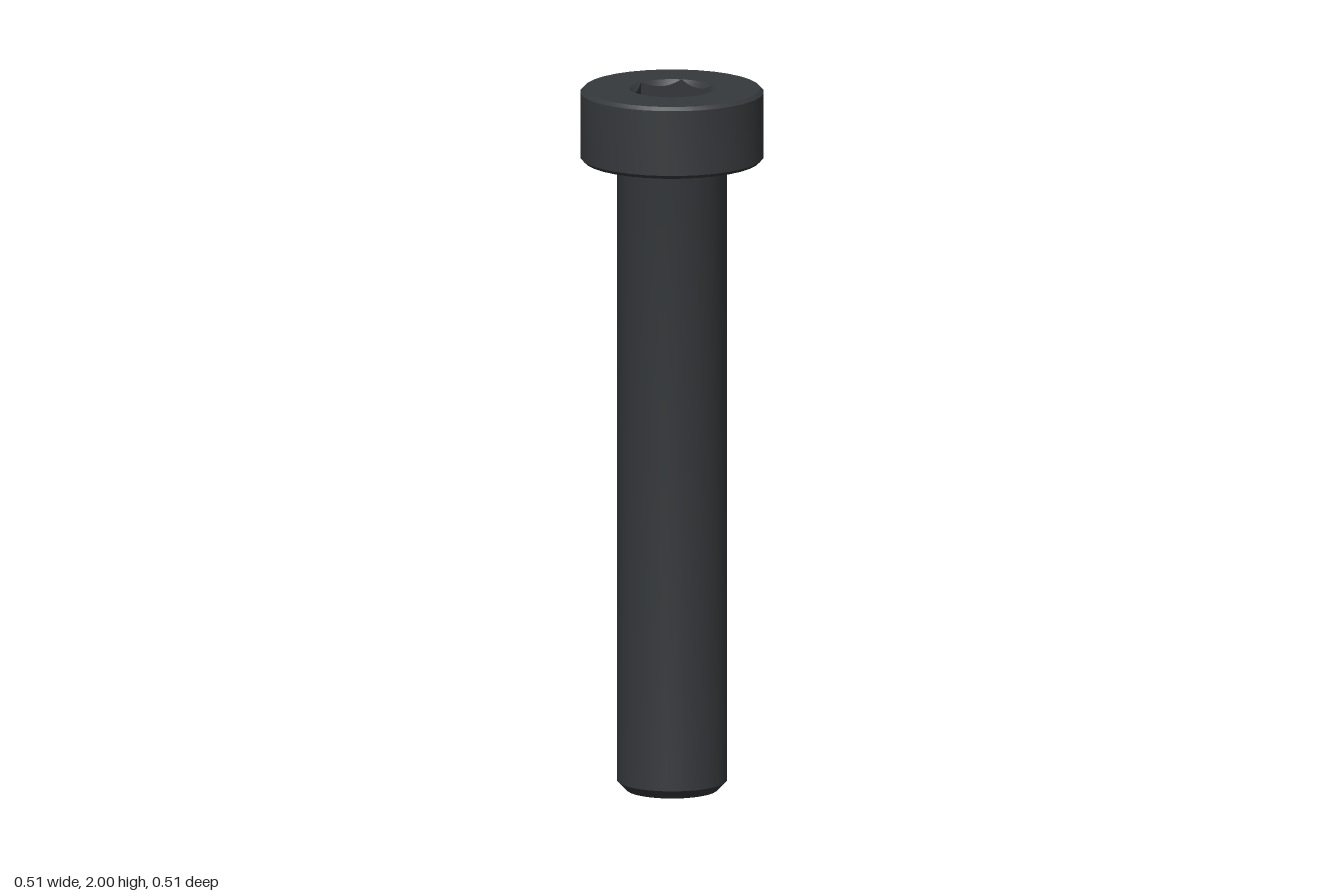
import * as THREE from 'three';
import { toCreasedNormals } from 'three/addons/utils/BufferGeometryUtils.js';

const SIDES = 32;
const HEAD_R = 0.256, SHAFT_R = 0.154, HEAD_Y = 1.795, TOP = 2, BEVEL = 0.01;
const HEX_FLAT = 0.1026, SOCKET_R = HEX_FLAT / Math.cos(Math.PI / 6), FLOOR_Y = TOP - 0.118;
const SOCKET_STEPS = 48; // 8 per hexagon flat

const circle = (r, n) => Array.from({ length: n }, (_, i) => {
  const a = (i / n) * Math.PI * 2;
  return new THREE.Vector2(r * Math.cos(a), r * Math.sin(a));
});

// Hexagonal recess: rings from round mouth to hexagon, wall and floor
function socketGeometry() {
  const rings = [[], [], [], []];
  for (let i = 0; i < SOCKET_STEPS; i++) {
    const a = (i / SOCKET_STEPS) * Math.PI * 2;
    const r = HEX_FLAT / Math.cos((a % (Math.PI / 3)) - Math.PI / 6);
    const at = (radius, y) => [radius * Math.cos(a), y, -radius * Math.sin(a)];
    rings[0].push(at(SOCKET_R, TOP));
    rings[1].push(at(r, TOP - (SOCKET_R - r))); // countersink scallops
    rings[2].push(at(r, FLOOR_Y));
    rings[3].push([0, FLOOR_Y, 0]);
  }
  const pos = [];
  for (let k = 0; k < 3; k++) {
    for (let i = 0; i < SOCKET_STEPS; i++) {
      const j = (i + 1) % SOCKET_STEPS;
      const [a, b, c, d] = [rings[k][i], rings[k][j], rings[k + 1][j], rings[k + 1][i]];
      pos.push(...a, ...b, ...c);
      if (k < 2) pos.push(...a, ...c, ...d);
    }
  }
  const g = new THREE.BufferGeometry();
  g.setAttribute('position', new THREE.Float32BufferAttribute(pos, 3));
  g.computeVertexNormals();
  return toCreasedNormals(g, 0.45);
}

export function createModel() {
  const group = new THREE.Group();
  group.name = 'socketHeadBolt';
  const material = new THREE.MeshStandardMaterial({ color: 0x36393c });
  const add = (name, geometry) => {
    const mesh = new THREE.Mesh(geometry, material);
    mesh.name = name;
    group.add(mesh);
    return mesh;
  };
  const lathe = (points) => toCreasedNormals(
    new THREE.LatheGeometry(points.map(([x, y]) => new THREE.Vector2(x, y)), SIDES), 0.5);

  // Shank with chamfered tip and a small fillet under the head
  const f = 0.013;
  const shank = [[0, 0], [SHAFT_R - 0.026, 0], [SHAFT_R, 0.026]];
  for (let i = 0; i <= 4; i++) {
    const a = (i / 4) * Math.PI / 2;
    shank.push([SHAFT_R + f * (1 - Math.cos(a)), HEAD_Y - f * (1 - Math.sin(a))]);
  }
  add('shank', lathe(shank));

  // Bevelled head side and underside
  add('head', lathe([
    [SHAFT_R + f, HEAD_Y], [HEAD_R - BEVEL, HEAD_Y], [HEAD_R, HEAD_Y + BEVEL],
    [HEAD_R, TOP - BEVEL], [HEAD_R - BEVEL, TOP],
  ]));

  // Flat top face around the socket mouth
  const face = new THREE.Shape(circle(HEAD_R - BEVEL, SIDES));
  face.holes.push(new THREE.Path(circle(SOCKET_R, SOCKET_STEPS)));
  const top = new THREE.ShapeGeometry(face);
  top.rotateX(-Math.PI / 2).translate(0, TOP, 0);
  add('headTop', top);

  add('hexSocket', socketGeometry());
  return group;
}
